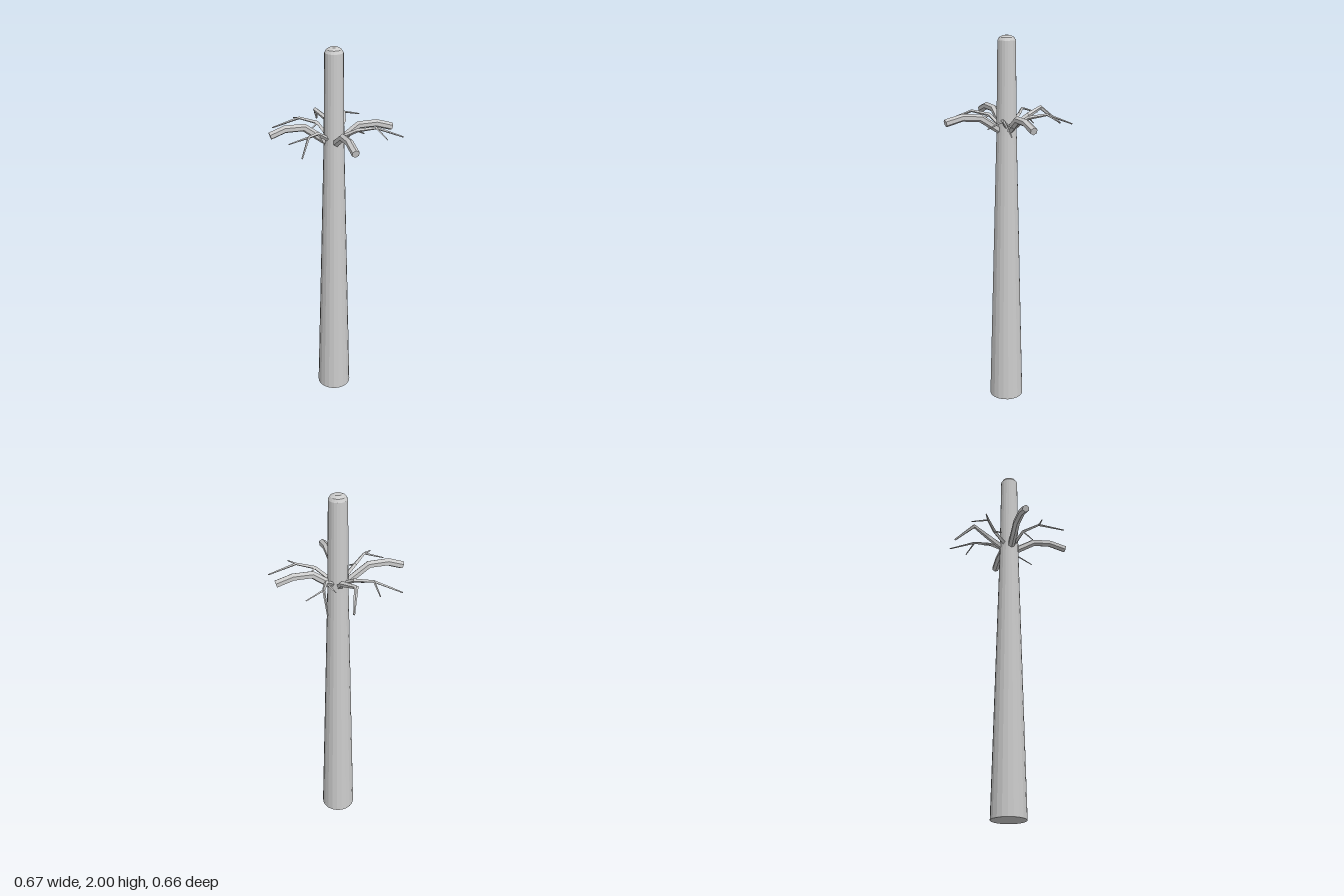
import * as THREE from 'three';

const CX = 0.005, CZ = -0.014; // trunk axis
const bark = new THREE.MeshStandardMaterial({ color: 0xcccccc, flatShading: true });

// Angular limb: polygon rings swept along a path of [x, y, z, radius] points
function limb(name, path, sides) {
  const pts = path.map(p => new THREE.Vector3(p[0], p[1], p[2]));
  const up = new THREE.Vector3(0, 1, 0);
  const positions = [], index = [];
  pts.forEach((p, i) => {
    const t = new THREE.Vector3();
    if (i > 0) t.add(p.clone().sub(pts[i - 1]).normalize());
    if (i < pts.length - 1) t.add(pts[i + 1].clone().sub(p).normalize());
    t.normalize();
    const side = t.clone().cross(up).normalize();
    const top = side.clone().cross(t);
    for (let k = 0; k < sides; k++) {
      const a = (k / sides) * Math.PI * 2, r = path[i][3];
      const v = p.clone().addScaledVector(top, r * Math.cos(a)).addScaledVector(side, r * Math.sin(a));
      positions.push(v.x, v.y, v.z);
    }
  });
  for (let i = 0; i < pts.length - 1; i++) {
    for (let k = 0; k < sides; k++) {
      const n = (k + 1) % sides, a = i * sides, b = a + sides;
      index.push(a + k, a + n, b + n, a + k, b + n, b + k);
    }
  }
  // End caps
  const last = (pts.length - 1) * sides;
  for (let k = 1; k < sides - 1; k++) {
    index.push(last, last + k, last + k + 1, 0, k + 1, k);
  }
  const geo = new THREE.BufferGeometry();
  geo.setAttribute('position', new THREE.Float32BufferAttribute(positions, 3));
  geo.setIndex(index);
  const flat = geo.toNonIndexed();
  flat.computeVertexNormals();
  const mesh = new THREE.Mesh(flat, bark);
  mesh.name = name;
  return mesh;
}

export function createModel() {
  const model = new THREE.Group();
  model.name = 'bareTree';

  // Tapered trunk with a small rounded top
  const profile = [[0, 0], [0.092, 0], [0.053, 1.5], [0.047, 1.975], [0.038, 1.99], [0.02, 2], [0, 2]]
    .map(p => new THREE.Vector2(p[0], p[1]));
  const trunk = new THREE.Mesh(new THREE.LatheGeometry(profile, 20), bark);
  trunk.name = 'trunk';
  trunk.position.set(CX, 0, CZ);
  model.add(trunk);

  // Thick hexagonal boughs: front, left and right
  const R = 0.02;
  model.add(limb('frontBough', [[CX, 1.52, 0.02, R], [CX, 1.592, 0.132, R], [CX, 1.602, 0.23, R], [CX, 1.58, 0.323, R]], 6));
  model.add(limb('leftBough', [[0.035, 1.52, CZ, R], [0.135, 1.592, CZ, R], [0.23, 1.592, CZ, R], [0.316, 1.565, CZ, R]], 6));
  model.add(limb('rightBough', [[-0.03, 1.52, CZ, R], [-0.152, 1.61, CZ, R], [-0.25, 1.612, CZ, R], [-0.326, 1.585, CZ, R]], 6));

  // Crooked tapering bough at the back
  model.add(limb('backBough', [[CX, 1.53, -0.05, 0.017], [0.014, 1.59, -0.132, 0.015], [-0.03, 1.62, -0.227, 0.012], [0.006, 1.535, -0.328, 0.005]], 5));

  // Thin forked branches: main path in x, z, then tips of the lower and upper twig
  const branches = [
    { name: 'backLeftBranch', xz: [[0.035, -0.04], [0.086, -0.1], [0.118, -0.19], [0.132, -0.33]], twigs: [[0.048, -0.148], [0.21, -0.218]] },
    { name: 'backRightBranch', xz: [[-0.02, -0.045], [-0.052, -0.114], [-0.134, -0.171], [-0.267, -0.216]], twigs: [[-0.109, -0.089], [-0.139, -0.266]] },
    { name: 'frontRightBranch', xz: [[-0.03, 0.005], [-0.096, 0.039], [-0.163, 0.111], [-0.231, 0.232]], twigs: [[-0.082, 0.1], [-0.261, 0.098]] },
    { name: 'frontLeftBranch', xz: [[0.035, 0.0], [0.105, 0.055], [0.195, 0.089], [0.332, 0.111]], twigs: [[0.155, 0.02], [0.218, 0.186]] },
  ];
  const heights = [1.54, 1.59, 1.605, 1.55];
  const radii = [0.012, 0.01, 0.007, 0.0035];
  const twigHeights = [1.555, 1.575];
  for (const b of branches) {
    const group = new THREE.Group();
    group.name = b.name;
    const path = b.xz.map(([x, z], i) => [x, heights[i], z, radii[i]]);
    group.add(limb('stem', path, 4));
    b.twigs.forEach(([x, z], i) => {
      const [fx, fy, fz] = path[i + 1];
      group.add(limb('twig', [[fx, fy, fz, 0.0055], [x, twigHeights[i], z, 0.003]], 4));
    });
    model.add(group);
  }
  return model;
}
